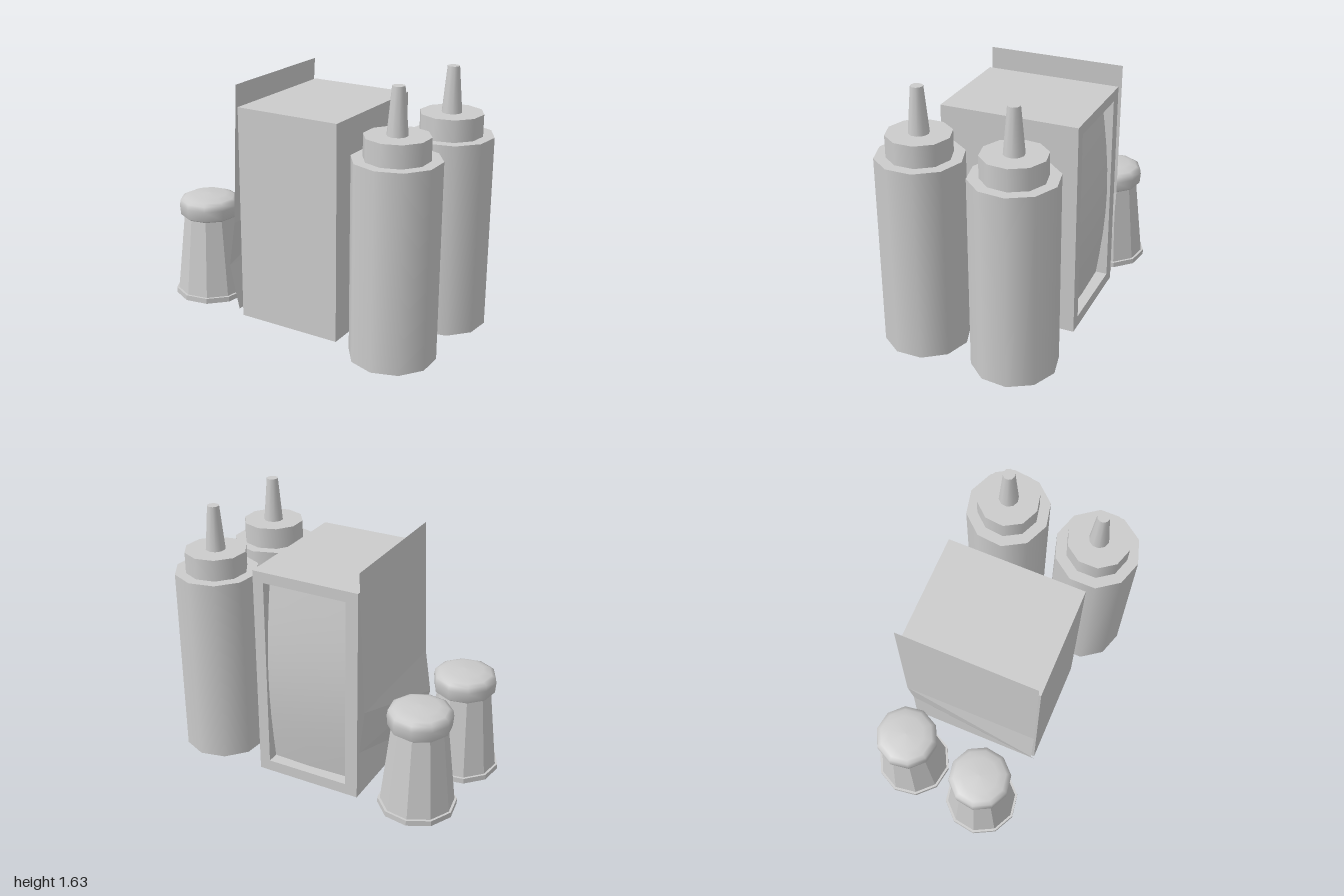
import * as THREE from 'three';

const grey = new THREE.MeshStandardMaterial({ color: 0xcccccc });
const greyFlat = new THREE.MeshStandardMaterial({ color: 0xcccccc, flatShading: true });
const greyDouble = new THREE.MeshStandardMaterial({ color: 0xcccccc, side: THREE.DoubleSide });
const greySheet = new THREE.MeshStandardMaterial({ color: 0xcccccc, side: THREE.DoubleSide, flatShading: true });
const SIDES = 10;

function add(parent, name, geometry, material, x = 0, y = 0, z = 0) {
  const mesh = new THREE.Mesh(geometry, material);
  mesh.name = name;
  mesh.position.set(x, y, z);
  parent.add(mesh);
  return mesh;
}

// Ten-sided drum or cone standing between two heights
function drum(parent, name, rTop, rBottom, y0, y1, material = grey, open = false) {
  const g = new THREE.CylinderGeometry(rTop, rBottom, y1 - y0, SIDES, 1, open);
  return add(parent, name, g, material, 0, (y0 + y1) / 2, 0);
}

// Surface lofted through rows of [x, y, z] points, all rows the same length
function loft(rows) {
  const n = rows[0].length, index = [];
  for (let r = 0; r < rows.length - 1; r++) {
    for (let c = 0; c < n - 1; c++) {
      const a = r * n + c, b = a + 1, d = a + n, e = d + 1;
      index.push(a, d, b, b, d, e);
    }
  }
  const g = new THREE.BufferGeometry();
  g.setAttribute('position', new THREE.Float32BufferAttribute(rows.flat(2), 3));
  g.setIndex(index);
  g.computeVertexNormals();
  return g;
}

// Squeeze bottle: body open underneath, collar, tapered nozzle
function createBottle(x, z, turn) {
  const bottle = new THREE.Group();
  bottle.name = 'squeezeBottle';
  drum(bottle, 'bottleBody', 0.263, 0.263, 0, 1.215, greyDouble, true);
  const shoulder = new THREE.CircleGeometry(0.263, SIDES).rotateX(-Math.PI / 2).rotateY(Math.PI / 2);
  add(bottle, 'bottleShoulder', shoulder, greyDouble, 0, 1.215, 0);
  drum(bottle, 'bottleCollar', 0.194, 0.194, 1.215, 1.35);
  drum(bottle, 'bottleNozzle', 0.037, 0.062, 1.35, 1.63);
  bottle.position.set(x, 0, z);
  bottle.rotation.y = turn;
  return bottle;
}

// Shaker: foot, faceted tapering glass, domed cap
function createShaker(x, z, turn) {
  const shaker = new THREE.Group();
  shaker.name = 'shaker';
  drum(shaker, 'shakerFoot', 0.241, 0.241, 0, 0.035, greyFlat);
  drum(shaker, 'shakerGlass', 0.168, 0.226, 0.035, 0.545, greyFlat);
  const profile = [[0, 0.54], [0.17, 0.54], [0.191, 0.555], [0.196, 0.62], [0.19, 0.655],
    [0.165, 0.668], [0.115, 0.687], [0, 0.692]].map(p => new THREE.Vector2(...p));
  add(shaker, 'shakerCap', new THREE.LatheGeometry(profile, SIDES), grey);
  shaker.position.set(x, 0, z);
  shaker.rotation.y = turn;
  return shaker;
}

// Napkin dispenser: solid box with a framed opening at the back
function createDispenser() {
  const dispenser = new THREE.Group();
  dispenser.name = 'napkinDispenser';
  const x0 = -0.355, x1 = 0.335, h = 1.372, back = -0.49, front = 0.38, recess = 0.1;
  const depth = front - back - recess;
  add(dispenser, 'dispenserBox', new THREE.BoxGeometry(x1 - x0, h, depth), grey,
    (x0 + x1) / 2, h / 2, front - depth / 2);

  const rect = (Type, l, r, b, t) => {
    const s = new Type();
    s.moveTo(l, b); s.lineTo(r, b); s.lineTo(r, t); s.lineTo(l, t); s.closePath();
    return s;
  };
  const frame = rect(THREE.Shape, x0, x1, 0, h);
  const l = -0.275, r = 0.265, b = 0.072, t = 1.305;
  frame.holes.push(rect(THREE.Path, l, r, b, t));
  add(dispenser, 'dispenserFrame', new THREE.ExtrudeGeometry(frame, { depth: recess, bevelEnabled: false }),
    grey, 0, 0, back);

  // Napkins bulge towards the opening at mid height, with a fold down the middle
  const rows = [];
  for (let i = 0; i <= 8; i++) {
    const v = i / 8, z = back + 0.075 - 0.055 * Math.sin(Math.PI * v);
    rows.push([l, 0.02, r].map((x, c) => [x, b + (t - b) * v, z - (c === 1 ? 0.01 : 0)]));
  }
  add(dispenser, 'napkins', loft(rows), greyDouble);
  return dispenser;
}

// Menu card leaning on the dispenser, slightly warped: [y, front x, back x, front z, back z]
function createMenu() {
  const rows = [
    [1.505, -0.372, -0.37, 0.37, -0.507],
    [0.62, -0.404, -0.404, 0.38, -0.492],
    [0.33, -0.445, -0.37, 0.385, -0.49],
    [0.04, -0.38, -0.38, 0.385, -0.485],
  ].map(([y, xf, xb, zf, zb]) => [[xf, y, zf], [xb, y, zb]]);
  const menu = new THREE.Mesh(loft(rows), greySheet);
  menu.name = 'menuCard';
  return menu;
}

export function createModel() {
  const model = new THREE.Group();
  model.name = 'condimentSet';
  model.add(
    createDispenser(),
    createMenu(),
    createBottle(0.739, -0.275, -0.1),
    createBottle(0.694, 0.328, 0),
    createShaker(-0.7, -0.361, 0.15),
    createShaker(-0.764, 0.165, -0.15),
  );
  return model;
}
